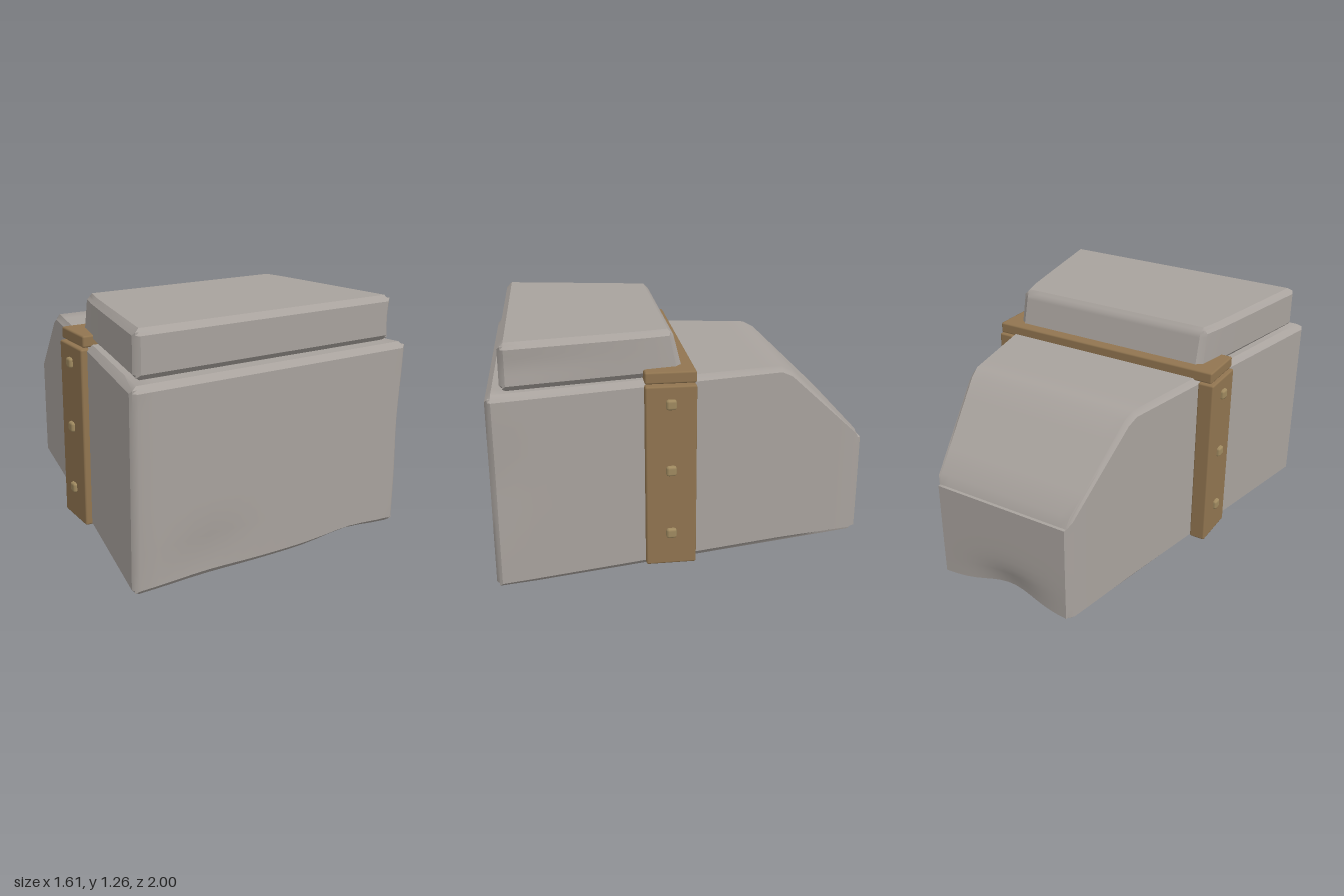
import * as THREE from 'three';
import { toCreasedNormals } from 'three/addons/utils/BufferGeometryUtils.js';
import { RoundedBoxGeometry } from 'three/addons/geometries/RoundedBoxGeometry.js';

const stoneMat = new THREE.MeshStandardMaterial({ color: 0xa8a29d });
const strapMat = new THREE.MeshStandardMaterial({ color: 0x917550 });
const rivetMat = new THREE.MeshStandardMaterial({ color: 0xa08a60 });

const gauss = (d, s) => Math.exp(-(d * d) / (2 * s * s));

// Positions from a to b with a narrow cell of width r at each end
function steps(a, b, r, n) {
  const out = [a];
  for (let i = 0; i <= n; i++) out.push(a + r + ((b - a - 2 * r) * i) / n);
  return [...out, b];
}

// Tapered block with chamfered edges: half(z) gives half width, top(z) the height
function stone(name, { zs, half, bottom, top, r, wear }) {
  const us = steps(-1, 1, r * 1.5, 16);
  const vs = steps(0, 1, r / (top(zs[zs.length - 1]) - bottom), 10);
  const nx = us.length - 1, ny = vs.length - 1, nz = zs.length - 1;
  const geo = new THREE.BoxGeometry(1, 1, 1, nx, ny, nz);
  const p = geo.attributes.position, v = new THREE.Vector3();
  for (let n = 0; n < p.count; n++) {
    const i = Math.round((p.getX(n) + 0.5) * nx);
    const j = Math.round((p.getY(n) + 0.5) * ny);
    const k = Math.round((p.getZ(n) + 0.5) * nz);
    const side = [i === 0 ? -1 : +(i === nx), j === 0 ? -1 : +(j === ny), k === 0 ? -1 : +(k === nz)];
    const z = zs[k];
    v.set(us[i] * half(z), bottom + vs[j] * (top(z) - bottom), z);
    // Pull edges and corners in to form the chamfer
    if (side.filter(Boolean).length > 1) {
      v.x -= side[0] * r * 0.5;
      v.y -= side[1] * r * 0.5;
      v.z -= side[2] * r * 0.5;
    }
    wear(v);
    p.setXYZ(n, v.x, v.y, v.z);
  }
  geo.deleteAttribute('uv');
  geo.deleteAttribute('normal');
  const mesh = new THREE.Mesh(toCreasedNormals(geo, 0.65), stoneMat);
  mesh.name = name;
  return mesh;
}

function plank(name, size, pos, radius, mat) {
  const mesh = new THREE.Mesh(new RoundedBoxGeometry(...size, 1, radius), mat);
  mesh.position.set(...pos);
  mesh.name = name;
  return mesh;
}

export function createModel() {
  const model = new THREE.Group();
  model.name = 'strappedStone';

  // Main block: narrows to the back, with a sloping rear top
  model.add(stone('stoneBlock', {
    zs: [-1, -0.96, -0.86, -0.76, -0.66, -0.57, -0.51, -0.4, -0.2, 0, 0.2, 0.4, 0.6, 0.8, 0.97, 1],
    half: (z) => 0.61 + 0.203 * z,
    bottom: 0,
    top: (z) => (z > -0.51 ? 1.02 : z > -0.57 ? 1.02 + (z + 0.51) * 0.5 : 0.99 + (z + 0.57) * 0.96),
    r: 0.03,
    wear: (v) => {
      const front = gauss(v.z - 1, 0.05), back = gauss(v.z + 1, 0.1), low = gauss(v.y, 0.1);
      v.y += 0.035 * front * gauss(v.x - 0.48, 0.14) * gauss(v.y, 0.03);
      v.z -= 0.02 * front * gauss(v.x + 0.4, 0.15) * gauss(v.y - 0.1, 0.1);
      v.x -= 0.015 * front * gauss(v.y - 0.6, 0.15) * gauss(v.x - 0.81, 0.03);
      v.y += 0.055 * back * low * gauss(v.x + 0.02, 0.15);
      v.z += 0.04 * back * low * gauss(v.x + 0.02, 0.15);
    },
  }));

  // Slab resting on top, with its back face leaning forward
  model.add(stone('topSlab', {
    zs: [0.02, 0.05, 0.2, 0.35, 0.5, 0.65, 0.8, 0.9, 0.93],
    half: (z) => 0.58 + 0.195 * (z - 0.02),
    bottom: 1.02,
    top: () => 1.258,
    r: 0.03,
    wear: (v) => {
      const up = (v.y - 1.02) / 0.24;
      v.z += 0.06 * up * Math.max(0, 1 - (v.z - 0.02) / 0.2);
      v.x -= 0.01 * gauss(v.y - 1.14, 0.06) * gauss(v.x - 0.75, 0.05);
    },
  }));

  // Strap over the block, with riveted side plates
  const strap = new THREE.Group();
  strap.name = 'strap';
  strap.add(plank('strapTop', [1.36, 0.062, 0.262], [0, 1.039, 0.1], 0.01, strapMat));
  for (const s of [-1, 1]) {
    strap.add(plank('strapSide', [0.09, 0.98, 0.262], [s * 0.648, 0.51, 0.1], 0.01, strapMat));
    for (const y of [0.2, 0.55, 0.905]) {
      strap.add(plank('rivet', [0.05, 0.055, 0.055], [s * 0.687, y, 0.1], 0.014, rivetMat));
    }
  }
  model.add(strap);
  return model;
}
